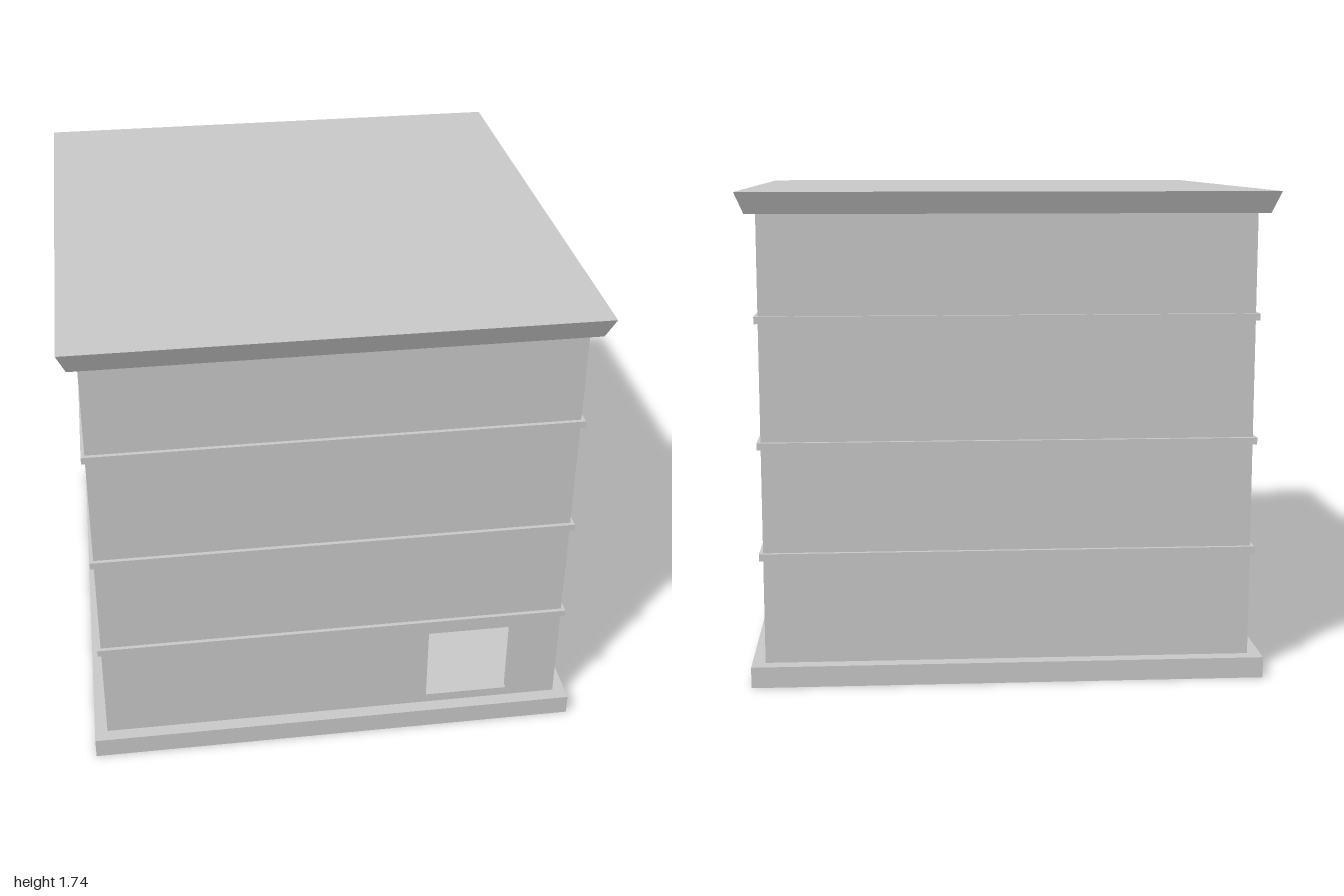
import * as THREE from 'three';

const WALL_X = 0.865, WALL_Z = 0.928;   // half sizes of the wall block
const BASE_TOP = 0.075, ROOF_BOTTOM = 1.66, ROOF_TOP = 1.735;
const THICK = 0.025;

export function createModel() {
  const group = new THREE.Group();
  const material = new THREE.MeshStandardMaterial({ color: 0xcccccc, flatShading: true });

  const add = (name, geometry, x = 0, y = 0, z = 0) => {
    const mesh = new THREE.Mesh(geometry, material);
    mesh.name = name;
    mesh.position.set(x, y, z);
    group.add(mesh);
    return mesh;
  };
  // Box given by half sizes in x and z and its bottom and top
  const slab = (name, hx, hz, y0, y1, x = 0, z = 0) =>
    add(name, new THREE.BoxGeometry(2 * hx, y1 - y0, 2 * hz), x, (y0 + y1) / 2, z);

  // Plinth
  slab('plinth', 0.912, 0.978, 0, BASE_TOP);

  // Front wall with the square doorway cut through
  const rect = (path, x0, y0, x1, y1) =>
    path.moveTo(x0, y0).lineTo(x1, y0).lineTo(x1, y1).lineTo(x0, y1).closePath();
  const front = rect(new THREE.Shape(), -WALL_X, BASE_TOP, WALL_X, ROOF_BOTTOM);
  front.holes.push(rect(new THREE.Path(), 0.36, 0.11, 0.675, 0.408));
  add('frontWall', new THREE.ExtrudeGeometry(front, { depth: THICK, bevelEnabled: false }),
    0, 0, WALL_Z - THICK);

  // Back and side walls around the hollow inside
  slab('backWall', WALL_X, THICK / 2, BASE_TOP, ROOF_BOTTOM, 0, -WALL_Z + THICK / 2);
  for (const [name, side] of [['leftWall', 1], ['rightWall', -1]]) {
    slab(name, THICK / 2, WALL_Z - THICK, BASE_TOP, ROOF_BOTTOM, side * (WALL_X - THICK / 2), 0);
  }

  // Storey slabs, showing outside as thin string courses
  [0.45, 0.845, 1.285].forEach((y, i) =>
    slab('storeyBand' + (i + 1), 0.878, 0.943, y, y + 0.025));

  // Roof slab flaring outwards to the top
  const roof = slab('roof', 0.93, 1, ROOF_BOTTOM, ROOF_TOP);
  const p = roof.geometry.attributes.position;
  for (let i = 0; i < p.count; i++) {
    if (p.getY(i) < 0) {
      p.setX(i, Math.sign(p.getX(i)) * 0.9);
      p.setZ(i, Math.sign(p.getZ(i)) * 0.97);
    }
  }
  roof.geometry.computeVertexNormals();

  return group;
}
